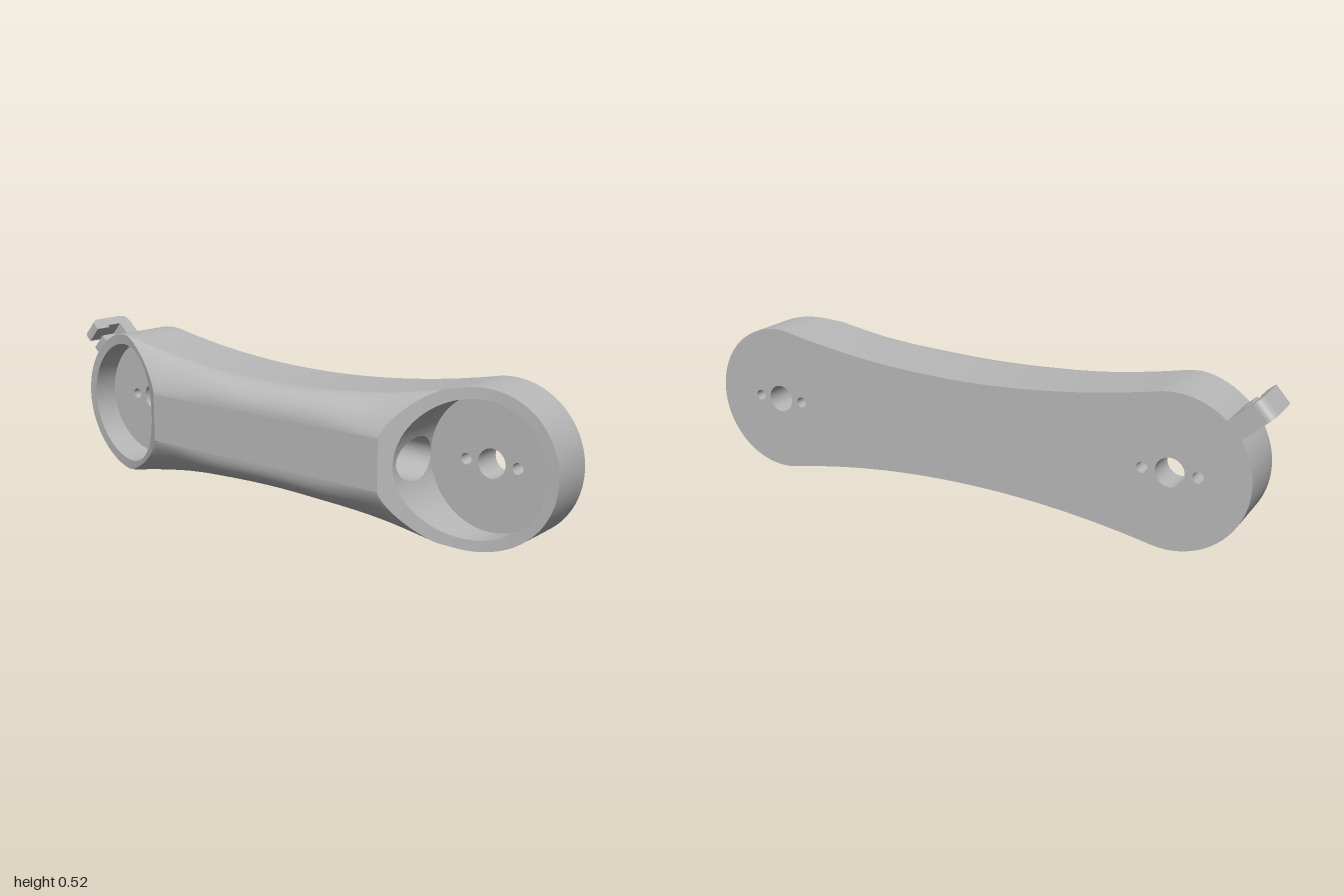
import * as THREE from 'three';

const BACK = -0.17, FRONT = 0.17, FLOOR = -0.065, SHOULDER = 0.07;
const FLAT = 0.083, R_END = 0.25, R_POCKET = 0.215, MID = 0.025, Y0 = 0.252;
const ENDS = [
  { name: 'right', x: -0.695, dir: -1, edge: -0.453 },
  { name: 'left', x: 0.745, dir: 1, edge: 0.4944 },
];
const TUNNEL = { ry: 0.068, rz: 0.095, z: 0.03 };
const R_WAIST = 3.243;

// Half height of the outline: round ends joined by a wide concave arc
function half(x) {
  const d = Math.abs(x - MID);
  if (d < 0.6685) return 0.175 + R_WAIST - Math.sqrt(R_WAIST * R_WAIST - d * d);
  return Math.sqrt(Math.max(0, R_END * R_END - (d - 0.72) ** 2));
}

// Height of the front: flat in the middle, scooped by an arc at each end
function frontZ(x) {
  const arc = (x0, z0, r) => z0 + r - Math.sqrt(r * r - (x - x0) ** 2);
  if (x < ENDS[0].edge) return Math.min(FRONT, arc(-1.03, 0.022, 1.2));
  if (x > ENDS[1].edge) return Math.min(FRONT, arc(1.0, -0.01, 0.8));
  return FRONT;
}

// Half width of the cross-section at depth z, with the rounded shoulder
function width(x, z) {
  const h = half(x);
  if (z <= SHOULDER) return h;
  const t = Math.min(1, (z - SHOULDER) / (FRONT - SHOULDER));
  const p = 2 - 0.6 * THREE.MathUtils.smoothstep(Math.abs(x - MID), 0.15, 0.47);
  return FLAT + (h - FLAT) * Math.pow(Math.max(0, 1 - Math.pow(t, p)), 1 / p);
}

// Surface through rows of equally many [x, y, z] points
function skin(rows) {
  const n = rows[0].length, index = [];
  for (let i = 0; i < rows.length - 1; i++) {
    for (let j = 0; j < n - 1; j++) {
      const a = i * n + j, b = a + n;
      index.push(a, b, a + 1, b, b + 1, a + 1);
    }
  }
  const g = new THREE.BufferGeometry();
  g.setAttribute('position', new THREE.Float32BufferAttribute(rows.flat(2), 3));
  g.setIndex(index);
  g.computeVertexNormals();
  return g;
}

const range = (n, f) => Array.from({ length: n + 1 }, (_, i) => f(i / n));

// Bolt holes of one end: a large bore and a small one on each side
const bores = (cx) => [[cx, 0.047], [cx - 0.088, 0.018], [cx + 0.088, 0.018]];

function addBores(shape, cx) {
  for (const [x, r] of bores(cx)) {
    shape.holes.push(new THREE.Path().absarc(x, 0, r, 0, Math.PI * 2, true));
  }
}

export function createModel() {
  const group = new THREE.Group();
  const grey = new THREE.MeshStandardMaterial({ color: 0xb8b8b8, side: THREE.DoubleSide });
  grey.name = 'grey';
  const link = new THREE.Group();
  link.name = 'armLink';
  link.position.y = Y0;
  group.add(link);
  const add = (name, geometry) => {
    const mesh = new THREE.Mesh(geometry, grey);
    mesh.name = name;
    link.add(mesh);
    return mesh;
  };

  // Stations along the link, denser around the round ends
  const [A, B] = ENDS;
  const xs = [
    ...range(40, (t) => A.x - R_END + (A.edge - A.x + R_END) * (1 - Math.cos(t * Math.PI / 2))),
    ...range(40, (t) => A.edge + (B.edge - A.edge) * t).slice(1, -1),
    ...range(40, (t) => B.edge + (B.x + R_END - B.edge) * Math.sin(t * Math.PI / 2)),
  ];

  // Outer wall, running once around the outline
  const wallRow = (x, s) => {
    const top = frontZ(x), z0 = Math.min(SHOULDER, top);
    const zs = [BACK, ...range(12, (t) => z0 + (top - z0) * Math.sin(t * Math.PI / 2))];
    return zs.map((z) => [x, s * width(x, z), z]);
  };
  add('outerWall', skin([
    ...xs.map((x) => wallRow(x, -1)),
    ...xs.slice(0, -1).reverse().map((x) => wallRow(x, 1)),
  ]));

  // Flat front and back faces
  add('frontFace', skin([A.edge, B.edge].map((x) => [[x, -FLAT, FRONT], [x, FLAT, FRONT]])));
  const outline = new THREE.Shape([
    ...xs.map((x) => new THREE.Vector2(x, -half(x))),
    ...xs.slice(1, -1).reverse().map((x) => new THREE.Vector2(x, half(x))),
  ]);
  ENDS.forEach((e) => addBores(outline, e.x));
  const back = new THREE.ShapeGeometry(outline, 32);
  back.rotateY(Math.PI).scale(-1, 1, 1);
  back.setIndex([...back.index.array].reverse());
  back.computeVertexNormals();
  back.translate(0, 0, BACK);
  add('backFace', back);

  for (const e of ENDS) {
    // Scooped rim between the pocket and the outline
    const inside = (x, y) =>
      (x - e.edge) * e.dir > 0 && Math.abs(y) < width(x, frontZ(x));
    add(e.name + 'Rim', skin(range(180, (t) => {
      const c = Math.cos(t * Math.PI * 2), s = Math.sin(t * Math.PI * 2);
      let lo = R_POCKET, hi = 0.4;
      for (let i = 0; i < 30; i++) {
        const m = (lo + hi) / 2;
        if (inside(e.x + m * c, m * s)) lo = m; else hi = m;
      }
      return range(4, (k) => {
        const r = R_POCKET + (lo - R_POCKET) * k, x = e.x + r * c;
        return [x, r * s, frontZ(x)];
      });
    })));

    // Pocket wall in two bands that part around the tunnel mouth
    const a0 = Math.asin(TUNNEL.ry / R_POCKET);
    const angles = [
      ...range(24, (t) => -a0 * Math.cos(t * Math.PI)),
      ...range(96, (t) => a0 + (Math.PI * 2 - 2 * a0) * t).slice(1),
    ];
    const band = (upper) => skin(angles.map((a) => {
      const x = e.x - e.dir * R_POCKET * Math.cos(a), y = R_POCKET * Math.sin(a);
      const top = frontZ(x);
      const open = Math.cos(a) > 0
        ? TUNNEL.rz * Math.sqrt(Math.max(0, 1 - (y / TUNNEL.ry) ** 2)) : 0;
      const z = Math.min(top, TUNNEL.z + (upper ? open : -open));
      return [[x, y, upper ? top : FLOOR], [x, y, z]];
    }));
    add(e.name + 'PocketWallFront', band(true));
    add(e.name + 'PocketWallBack', band(false));

    // Pocket floor and the bolt holes through it
    const floor = new THREE.Shape().absarc(e.x, 0, R_POCKET, 0, Math.PI * 2);
    addBores(floor, e.x);
    add(e.name + 'PocketFloor', new THREE.ShapeGeometry(floor, 48).translate(0, 0, FLOOR));
    for (const [x, r] of bores(e.x)) {
      const bore = new THREE.CylinderGeometry(r, r, FLOOR - BACK, 32, 1, true);
      bore.rotateX(Math.PI / 2).translate(x, 0, (FLOOR + BACK) / 2);
      add(e.name + 'BoltHole', bore);
    }
  }

  // Oval cable tunnel joining the two pockets
  add('cableTunnel', skin(range(48, (t) => {
    const y = TUNNEL.ry * Math.cos(t * Math.PI * 2);
    const z = TUNNEL.z + TUNNEL.rz * Math.sin(t * Math.PI * 2);
    return ENDS.map((e) => [e.x - e.dir * Math.sqrt(R_POCKET ** 2 - y * y), y, z]);
  })));

  // Cable clip: a rounded block with a slot that opens to the front
  const c = new THREE.Shape();
  c.moveTo(-0.015, BACK);
  c.lineTo(0.09, BACK);
  c.quadraticCurveTo(0.12, BACK, 0.12, -0.135);
  c.lineTo(0.12, -0.03);
  c.quadraticCurveTo(0.12, 0.004, 0.09, 0.004);
  c.lineTo(0.075, 0.004);
  for (const [u, z] of [[0.075, -0.055], [0.085, -0.055], [0.085, -0.115],
    [0.035, -0.115], [0.035, -0.055], [0.042, -0.055], [0.042, 0.004], [-0.015, 0.004]]) {
    c.lineTo(u, z);
  }
  const clip = add('cableClip', new THREE.ExtrudeGeometry(c, { depth: 0.067, bevelEnabled: false }));
  clip.geometry.translate(0, 0, -0.0335);
  const u = new THREE.Vector3(-0.75, 0.66, 0).normalize(), v = new THREE.Vector3(0, 0, 1);
  clip.quaternion.setFromRotationMatrix(
    new THREE.Matrix4().makeBasis(u, v, new THREE.Vector3().crossVectors(u, v)));
  clip.position.set(A.x, 0, 0).addScaledVector(u, R_END);

  return group;
}
